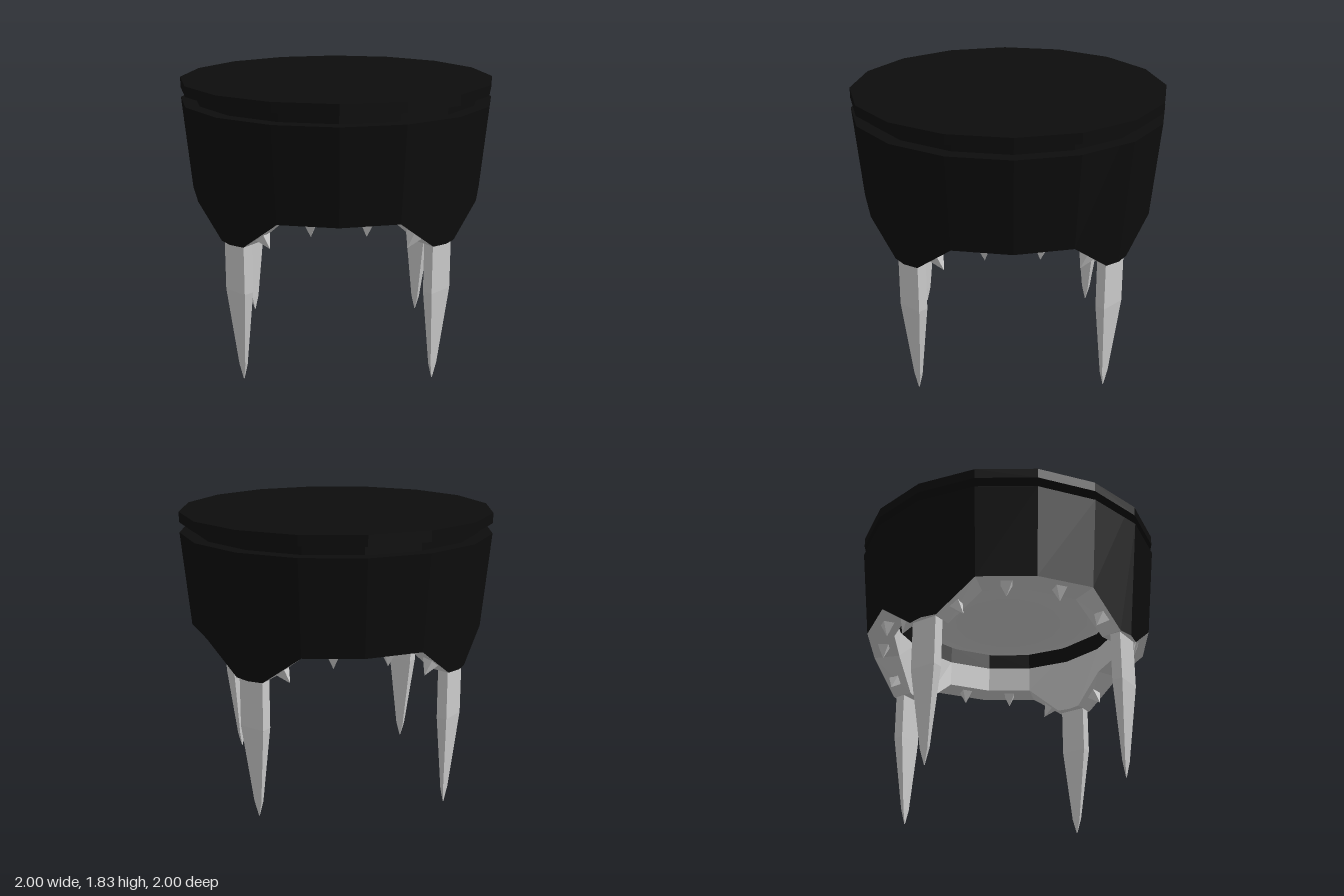
import * as THREE from 'three';

const SIDES = 16;
const black = new THREE.MeshStandardMaterial({ name: 'black', color: 0x0d0d0d });
const grey = new THREE.MeshStandardMaterial({ name: 'pale grey', color: 0xcccccc });

// Faceted normals
function flat(g) {
  const f = g.index ? g.toNonIndexed() : g;
  f.computeVertexNormals();
  return f;
}

function mesh(name, geometry, material) {
  const m = new THREE.Mesh(geometry, material);
  m.name = name;
  return m;
}

function lathe(points) {
  return flat(new THREE.LatheGeometry(points.map(p => new THREE.Vector2(...p)), SIDES));
}

// Point on a 16-sided ring; s counts sides from +z towards +x
function ringPoint(s, r, y) {
  const corner = k => {
    const a = k * 2 * Math.PI / SIDES;
    return new THREE.Vector3(Math.sin(a) * r, y, Math.cos(a) * r);
  };
  const k = Math.floor(s);
  return corner(k).lerp(corner(k + 1), s - k);
}

// Surface between a lower and an upper edge, both given as rows of points
function skin(rows) {
  const pos = [];
  for (let j = 0; j < rows.length - 1; j++) {
    const n = rows[j].length;
    for (let i = 0; i < n; i++) {
      const k = (i + 1) % n;
      const a = rows[j][i], b = rows[j][k], c = rows[j + 1][k], d = rows[j + 1][i];
      for (const p of [a, b, c, a, c, d]) pos.push(p.x, p.y, p.z);
    }
  }
  const g = new THREE.BufferGeometry();
  g.setAttribute('position', new THREE.Float32BufferAttribute(pos, 3));
  return flat(g);
}

const outerR = y => 0.925 + (y - 0.91) * 0.075 / 0.79;
const innerR = y => 0.765 + (1.1 - y) * 0.1;

// Tapered claw: a box that narrows to a point, slightly leaning inward
function legGeometry() {
  const sections = [ // y, half width, inner z, outer z
    [0, 0.002, 0.84, 0.843], [0.1, 0.028, 0.834, 0.854],
    [0.6, 0.087, 0.825, 0.893], [1.02, 0.087, 0.825, 0.893],
  ];
  return skin(sections.map(([y, w, zi, zo]) => [
    new THREE.Vector3(-w, y, zo), new THREE.Vector3(w, y, zo),
    new THREE.Vector3(w, y, zi), new THREE.Vector3(-w, y, zi),
  ]));
}

// Square spike hanging from y = 0
function spikeGeometry() {
  const g = new THREE.ConeGeometry(0.055, 0.1, 4, 1);
  g.rotateY(Math.PI / 4);
  g.rotateX(Math.PI);
  g.translate(0, -0.04, 0);
  return flat(g);
}

export function createModel() {
  const model = new THREE.Group();
  model.name = 'stool';

  // Cushion lid with the recessed groove below it
  model.add(mesh('seat', lathe([[1, 1.7], [0.91, 1.7], [0.91, 1.765], [1, 1.765], [1, 1.83], [0, 1.83]]), black));

  // Apron with a lobe over each leg
  const edge = [];
  for (let q = 0; q < 4; q++) {
    for (const [s, y] of [[0, 0.91], [0.28, 0.91], [1, 1.1], [2, 1.1], [3, 1.1], [3.72, 0.91]]) {
      edge.push([q * 4 + s, y]);
    }
  }
  const row = (r, y) => edge.map(([s]) => ringPoint(s, r, y));
  const outerEdge = edge.map(([s, y]) => ringPoint(s, outerR(y), y));
  const innerEdge = edge.map(([s, y]) => ringPoint(s, innerR(y), y));
  model.add(mesh('apron', skin([outerEdge, row(1, 1.7)]), black));
  model.add(mesh('apronRim', skin([innerEdge, outerEdge]), grey));
  model.add(mesh('apronLining', skin([row(0.765, 1.28), innerEdge]), grey));

  // Underside of the seat
  model.add(mesh('innerBand', lathe([[0.765, 1.41], [0.765, 1.28]]), black));
  model.add(mesh('seatUnderside', lathe([[0, 1.24], [0.2, 1.245], [0.36, 1.262], [0.55, 1.305], [0.68, 1.35], [0.765, 1.4]]), grey));

  // Legs and rim spikes, repeated on each quarter
  const legGeo = legGeometry();
  const spikeGeo = spikeGeometry();
  for (let q = 0; q < 4; q++) {
    const quarter = new THREE.Group();
    quarter.name = 'quarter' + (q + 1);
    quarter.rotation.y = q * Math.PI / 2;
    quarter.add(mesh('leg', legGeo, grey));

    // Spikes on the level stretch of the rim
    for (const s of [1.5, 2.5]) {
      const spike = mesh('rimSpike', spikeGeo, grey);
      spike.position.copy(ringPoint(s, 0.855, 1.1));
      spike.rotation.y = s * 2 * Math.PI / SIDES;
      quarter.add(spike);
    }

    // Spikes on the sloping sides of the lobe
    for (const side of [-1, 1]) {
      const spike = mesh('lobeSpike', spikeGeo, grey);
      spike.position.set(side * 0.185, 0.985, 0.825);
      spike.rotation.set(0, side * 0.196, side * 0.62);
      quarter.add(spike);
    }
    model.add(quarter);
  }
  return model;
}
